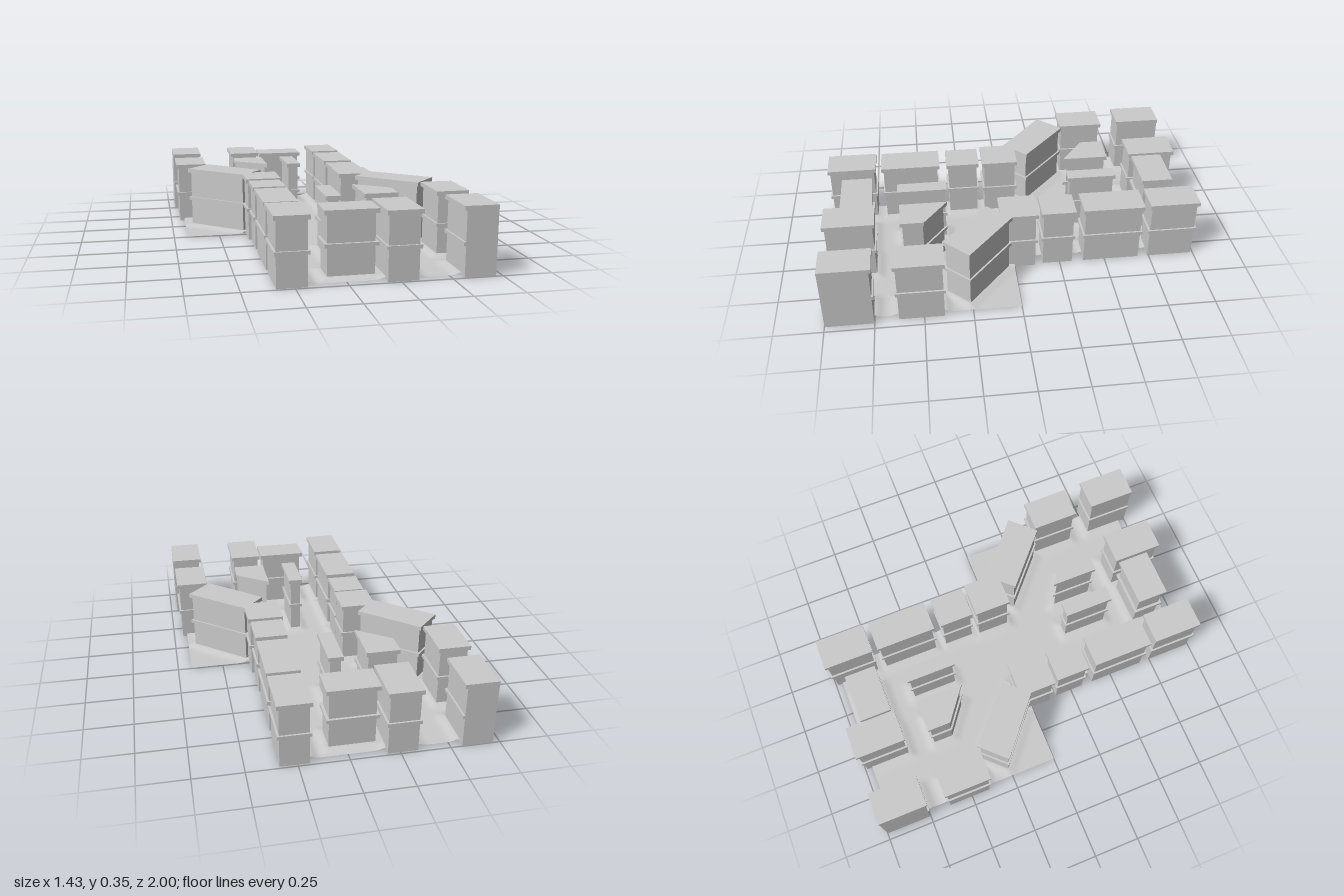
import * as THREE from 'three';

const rect = (x0, x1, z0, z1) => [[x0, z0], [x1, z0], [x1, z1], [x0, z1]];

// Footprints (x, z) of one half of the arena; the other half is this one turned by 180 degrees.
// flush: indices of the edges where the ledges do not overhang.
const BLOCKS = [
  { name: 'cornerBlockLeft', plan: rect(-0.35, -0.18, 0.73, 1.0), top: 0.342 },
  { name: 'sideBlockLong', plan: rect(-0.35, -0.18, 0.37, 0.70), top: 0.338 },
  { name: 'sideBlockShort', plan: rect(-0.35, -0.18, 0.145, 0.33), top: 0.336 },
  { name: 'innerCornerBlock', plan: rect(-0.36, -0.17, -0.075, 0.125), top: 0.34 },
  { name: 'endBlock', plan: rect(-0.10, 0.165, 0.745, 0.915), top: 0.336, inset: 0.016 },
  { name: 'endCornerBlock', plan: rect(0.175, 0.35, 0.73, 1.0), top: 0.343 },
  { name: 'outerCornerBlock', plan: rect(0.545, 0.715, 0.74, 1.0), top: 0.348, flush: [1, 2] },
  { name: 'outerSideBlock', plan: rect(0.54, 0.71, 0.385, 0.64), top: 0.342 },
  { name: 'diagonalBlock', plan: [[0.36, 0.015], [0.65, 0.26], [0.525, 0.39], [0.245, 0.14]], top: 0.34 },
  { name: 'middleWall', plan: rect(-0.025, 0.055, 0.34, 0.61), top: 0.335 },
  { name: 'wedgeBlock', plan: [[0.175, 0.345], [0.35, 0.475], [0.35, 0.60], [0.175, 0.60]], top: 0.337 },
];

// Move every edge of a convex footprint inwards and intersect neighbours.
function insetPlan(plan, inset, flush = []) {
  const edges = plan.map(([x, z], i) => {
    const [x2, z2] = plan[(i + 1) % plan.length];
    const len = Math.hypot(x2 - x, z2 - z);
    const n = [-(z2 - z) / len, (x2 - x) / len];
    return { n, c: n[0] * x + n[1] * z + (flush.includes(i) ? 0.001 : inset) };
  });
  return edges.map((b, i) => {
    const a = edges[(i + edges.length - 1) % edges.length];
    const det = a.n[0] * b.n[1] - a.n[1] * b.n[0];
    return [(a.c * b.n[1] - b.c * a.n[1]) / det, (a.n[0] * b.c - b.n[0] * a.c) / det];
  });
}

function slab(name, plan, y0, y1, material) {
  const shape = new THREE.Shape(plan.map(([x, z]) => new THREE.Vector2(x, -z)));
  const geometry = new THREE.ExtrudeGeometry(shape, { depth: y1 - y0, bevelEnabled: false });
  geometry.rotateX(-Math.PI / 2).translate(0, y0, 0);
  const mesh = new THREE.Mesh(geometry, material);
  mesh.name = name;
  return mesh;
}

// Two storeys, each closed by a thin overhanging ledge.
function makeBlock({ name, plan, top, inset = 0.012, flush }, material) {
  const group = new THREE.Group();
  group.name = name;
  const body = insetPlan(plan, inset, flush);
  group.add(
    slab('lowerStorey', body, 0, 0.157, material),
    slab('middleLedge', insetPlan(plan, 0.002, flush), 0.157, 0.175, material),
    slab('upperStorey', body, 0.175, top - 0.022, material),
    slab('roofLedge', plan, top - 0.022, top, material),
  );
  return group;
}

// Distance from a point to a footprint, zero inside it.
function planDistance(plan, x, z) {
  let inside = true, best = Infinity;
  plan.forEach(([ax, az], i) => {
    const [bx, bz] = plan[(i + 1) % plan.length];
    const dx = bx - ax, dz = bz - az;
    if (dx * (z - az) - dz * (x - ax) < 0) inside = false;
    const t = THREE.MathUtils.clamp(((x - ax) * dx + (z - az) * dz) / (dx * dx + dz * dz), 0, 1);
    best = Math.min(best, Math.hypot(x - ax - t * dx, z - az - t * dz));
  });
  return inside ? 0 : best;
}

// Thin ground that swells softly against the foot of each block.
function makeFloor(material) {
  const geometry = new THREE.PlaneGeometry(0.96, 0.96, 64, 64);
  geometry.rotateX(-Math.PI / 2).translate(0.195, 0, 0.48);
  const pos = geometry.attributes.position;
  for (let i = 0; i < pos.count; i++) {
    const x = pos.getX(i), z = pos.getZ(i);
    let d = Infinity;
    for (const { plan } of BLOCKS) d = Math.min(d, planDistance(plan, x, z), planDistance(plan, -x, -z));
    const k = Math.max(0, 1 - d / 0.05);
    pos.setY(i, 0.004 + 0.012 * k * k);
  }
  geometry.computeVertexNormals();
  const mesh = new THREE.Mesh(geometry, material);
  mesh.name = 'floor';
  return mesh;
}

export function createModel() {
  const stone = new THREE.MeshStandardMaterial({ color: 0xcccccc });
  const ground = new THREE.MeshStandardMaterial({ color: 0xcccccc, side: THREE.DoubleSide });
  const model = new THREE.Group();
  model.name = 'arena';

  // Both halves, turned about the centre
  ['frontHalf', 'backHalf'].forEach((name, i) => {
    const half = new THREE.Group();
    half.name = name;
    half.rotation.y = i * Math.PI;
    half.add(makeFloor(ground));
    for (const block of BLOCKS) half.add(makeBlock(block, stone));
    model.add(half);
  });
  return model;
}
